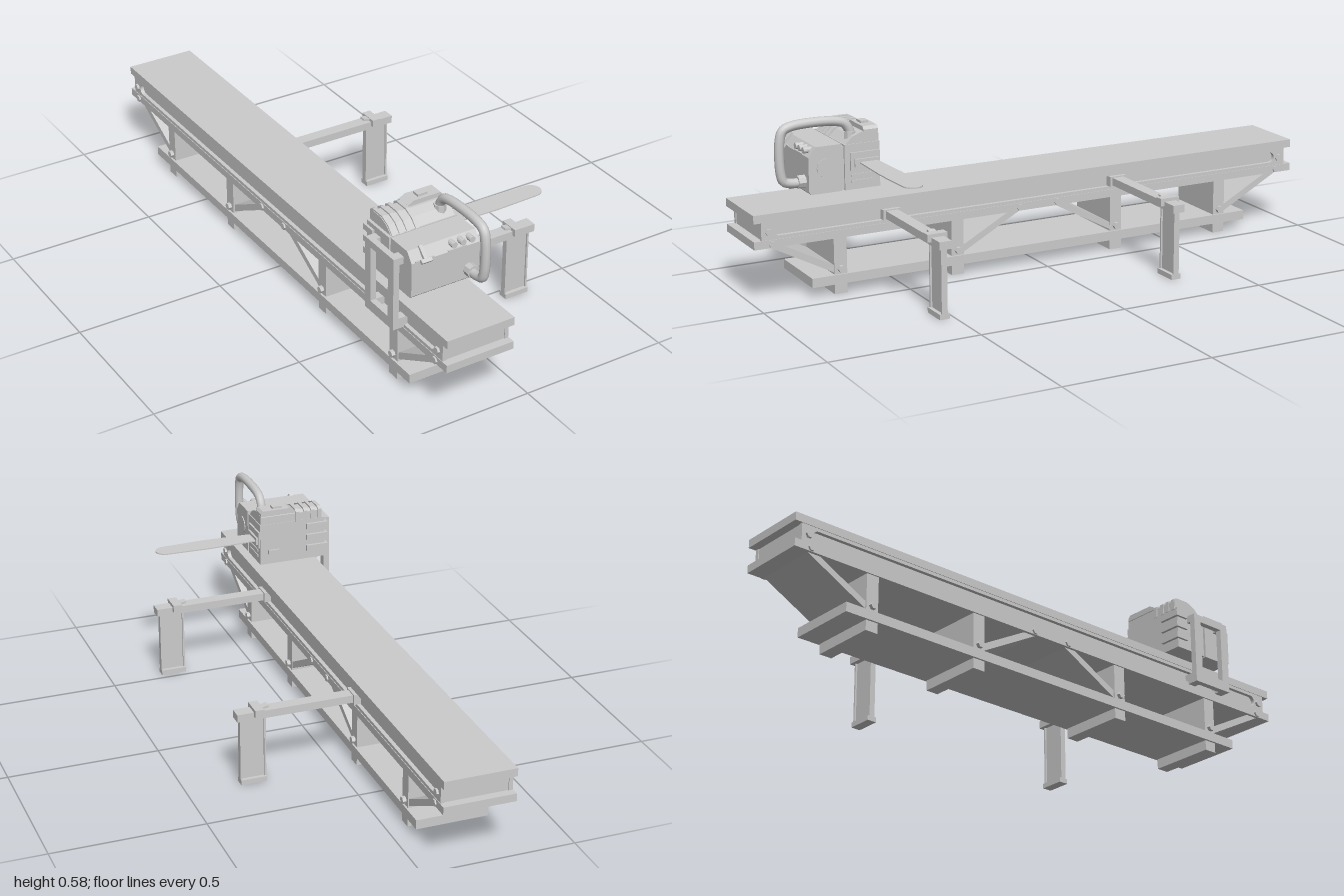
import * as THREE from 'three';

const mat = new THREE.MeshStandardMaterial({ color: 0xcccccc, flatShading: true });
const smooth = new THREE.MeshStandardMaterial({ color: 0xcccccc });

function add(parent, name, geo, material = mat) {
  const mesh = new THREE.Mesh(geo, material);
  mesh.name = name;
  parent.add(mesh);
  return mesh;
}

// Box given by its limits on each axis
function box(parent, name, x0, x1, y0, y1, z0, z1) {
  const m = add(parent, name, new THREE.BoxGeometry(x1 - x0, y1 - y0, z1 - z0));
  m.position.set((x0 + x1) / 2, (y0 + y1) / 2, (z0 + z1) / 2);
  return m;
}

// Shape drawn in (-z, y), extruded from x0 to x1
function extrudeX(parent, name, shape, x0, x1) {
  const g = new THREE.ExtrudeGeometry(shape, { depth: x1 - x0, bevelEnabled: false, curveSegments: 8 });
  g.rotateY(Math.PI / 2);
  g.translate(x0, 0, 0);
  return add(parent, name, g);
}
const profile = (pts) => new THREE.Shape(pts.map(([z, y]) => new THREE.Vector2(-z, y)));

// Cylinder along an axis, centred on a point
function rod(parent, name, axis, r, len, x, y, z, sides = 6) {
  const g = new THREE.CylinderGeometry(r, r, len, sides);
  if (axis === 'x') g.rotateZ(Math.PI / 2);
  if (axis === 'z') g.rotateX(Math.PI / 2);
  const m = add(parent, name, g);
  m.position.set(x, y, z);
  return m;
}

function stadium(path, halfLen, y, r) {
  path.absarc(halfLen, y, r, -Math.PI / 2, Math.PI / 2, false);
  path.absarc(-halfLen, y, r, Math.PI / 2, Math.PI * 1.5, false);
  path.closePath();
  return path;
}

function makeTable() {
  const t = new THREE.Group();
  t.name = 'table';
  box(t, 'tableTop', -0.298, -0.061, 0.27, 0.297, -1, 1);
  box(t, 'lowerDeck', -0.298, -0.061, 0.186, 0.212, -1, 1);
  box(t, 'webCore', -0.283, -0.076, 0.212, 0.27, -0.972, 0.972);
  // side plates with a long sliding slot
  for (const x of [-0.296, -0.076]) {
    const s = profile([[0.975, 0.212], [-0.975, 0.212], [-0.975, 0.27], [0.975, 0.27]]);
    s.holes.push(stadium(new THREE.Path(), 0.915, 0.241, 0.018));
    extrudeX(t, 'slottedRail', s, x, x + 0.013);
  }
  box(t, 'shelf', -0.3, -0.061, 0.034, 0.065, -0.81, 0.81);
  // legs, feet, sloping braces and through bolts, mirrored front to back
  for (const s of [-1, 1]) {
    for (const [leg, end] of [[0.71, 0.95], [0.297, 0.06]]) {
      const d = Math.sign(end - leg), z = s * leg;
      box(t, 'leg', -0.293, -0.067, 0, 0.188, z - 0.022, z + 0.022);
      const pts = [[end, 0.188], [end - d * 0.045, 0.188], [leg + d * 0.01, 0.09], [leg + d * 0.015, 0.068]]
        .map(([a, b]) => [s * a, b]);
      extrudeX(t, 'braceBoard', profile(pts), -0.288, -0.07);
      rod(t, 'legBolt', 'x', 0.012, 0.25, -0.18, 0.083, z);
      rod(t, 'braceBolt', 'x', 0.012, 0.248, -0.18, 0.198, s * (end - d * 0.01));
    }
    rod(t, 'endBolt', 'x', 0.012, 0.248, -0.18, 0.238, s * 0.95);
  }
  return t;
}

function makeSupportArm(z) {
  const a = new THREE.Group();
  a.name = 'supportArm';
  a.position.z = z;
  box(a, 'slideBlock', -0.078, -0.052, 0.224, 0.258, -0.03, 0.03);
  box(a, 'armBeam', -0.07, 0.335, 0.228, 0.254, -0.021, 0.021);
  box(a, 'clamp', 0.25, 0.28, 0.24, 0.265, -0.034, 0.034);
  const lever = box(a, 'clampLever', 0.228, 0.255, 0.257, 0.264, -0.012, 0.012);
  lever.rotation.z = -0.18;
  // hanging stop plate with raised edges and a foot
  box(a, 'stopPlate', 0.237, 0.323, 0.01, 0.24, -0.004, 0.004);
  for (const x of [0.237, 0.317]) box(a, 'plateEdge', x, x + 0.006, 0.01, 0.24, -0.01, 0.01);
  box(a, 'plateFoot', 0.237, 0.323, 0.001, 0.018, -0.017, 0.017);
  return a;
}

function makeSaw() {
  const g = new THREE.Group();
  g.name = 'saw';
  // front housing, joint and rear engine block
  extrudeX(g, 'frontHousing', profile([[0.7, 0.338], [0.7, 0.49], [0.787, 0.49], [0.812, 0.458],
    [0.812, 0.345], [0.805, 0.338]]), -0.3, -0.061);
  box(g, 'housingJoint', -0.292, -0.068, 0.342, 0.48, 0.685, 0.705);
  extrudeX(g, 'engineBlock', profile([[0.57, 0.338], [0.57, 0.485], [0.69, 0.485], [0.69, 0.338]]), -0.3, -0.061);
  extrudeX(g, 'engineTop', profile([[0.572, 0.485], [0.572, 0.513], [0.585, 0.52], [0.63, 0.52],
    [0.66, 0.508], [0.685, 0.485]]), -0.29, -0.064);
  // curved ribs over the top
  for (const x of [-0.288, -0.262, -0.236, -0.205]) {
    extrudeX(g, 'topRib', profile([[0.568, 0.48], [0.568, 0.518], [0.582, 0.525], [0.632, 0.525],
      [0.666, 0.51], [0.69, 0.485]]), x, x + 0.013);
  }
  // raised cover with a sloping end
  const c = new THREE.Shape([[-0.19, 0.515], [-0.065, 0.515], [-0.065, 0.525], [-0.073, 0.535], [-0.17, 0.535], [-0.19, 0.523]]
    .map((p) => new THREE.Vector2(...p)));
  const cover = new THREE.ExtrudeGeometry(c, { depth: 0.05, bevelEnabled: false });
  add(g, 'topCover', cover).position.z = 0.572;
  box(g, 'coverLatch', -0.147, -0.112, 0.533, 0.542, 0.585, 0.61);

  // carrying handle
  const pts = [[0.8, 0.376], [0.855, 0.374], [0.882, 0.383], [0.891, 0.41], [0.891, 0.515], [0.88, 0.545],
    [0.85, 0.557], [0.71, 0.557], [0.673, 0.545], [0.656, 0.518], [0.655, 0.49]]
    .map(([z, y]) => new THREE.Vector3(-0.097, y, z));
  const curve = new THREE.CatmullRomCurve3(pts, false, 'centripetal');
  add(g, 'handle', new THREE.TubeGeometry(curve, 60, 0.0155, 10), smooth);
  rod(g, 'handleMount', 'z', 0.021, 0.03, -0.097, 0.376, 0.822, 8);
  rod(g, 'handleSocket', 'y', 0.02, 0.03, -0.097, 0.505, 0.655, 8);

  // knobs, front seam and T-shaped pull
  for (const x of [-0.153, -0.122, -0.09]) rod(g, 'knob', 'z', 0.01, 0.03, x, 0.477, 0.803, 12);
  for (const x of [-0.287, -0.173]) box(g, 'frontTrim', x, x + 0.065, 0.459, 0.462, 0.8, 0.814);
  const pull = new THREE.Group();
  pull.name = 'pullLever';
  pull.position.set(-0.255, 0.48, 0.8);
  pull.rotation.x = 0.75;
  box(pull, 'leverStem', -0.006, 0.006, -0.005, 0.005, -0.02, 0.025);
  box(pull, 'leverGrip', -0.018, 0.018, -0.006, 0.006, 0.022, 0.034);
  g.add(pull);

  // flat horizontal guide bar with a round tip
  const b = new THREE.Shape();
  b.moveTo(-0.07, -0.03);
  b.lineTo(0.12, -0.037);
  b.lineTo(0.27, -0.032);
  b.absellipse(0.27, 0, 0.034, 0.032, -Math.PI / 2, Math.PI / 2, false);
  b.lineTo(0.12, 0.037);
  b.lineTo(-0.07, 0.03);
  const bar = new THREE.ExtrudeGeometry(b, { depth: 0.004, bevelEnabled: false, curveSegments: 12 });
  bar.rotateX(Math.PI / 2);
  add(g, 'guideBar', bar).position.set(0, 0.427, 0.613);
  box(g, 'barCover', -0.064, -0.055, 0.4, 0.458, 0.572, 0.672);
  box(g, 'barClamp', -0.062, -0.048, 0.412, 0.437, 0.577, 0.66);
  for (const y of [0.36, 0.38]) box(g, 'sideVent', -0.063, -0.058, y, y + 0.008, 0.59, 0.67);
  rod(g, 'sideCap', 'x', 0.03, 0.008, -0.062, 0.42, 0.755, 12);

  // cooling fins on the back corner
  for (const y of [0.369, 0.41, 0.45]) {
    box(g, 'coolingFin', -0.308, -0.23, y, y + 0.02, 0.56, 0.61);
  }
  box(g, 'backCatch', -0.13, -0.09, 0.375, 0.39, 0.563, 0.575);

  // sliding bracket that joins the saw to the table rail
  const br = new THREE.Group();
  br.name = 'railBracket';
  for (const z of [0.615, 0.74]) {
    box(br, 'bracketPost', -0.335, -0.315, 0.215, 0.462, z, z + 0.03);
    box(br, 'upperHook', -0.316, -0.298, 0.438, 0.462, z, z + 0.03);
    box(br, 'lowerHook', -0.316, -0.284, 0.215, 0.25, z, z + 0.03);
  }
  box(br, 'upperCrossbar', -0.335, -0.315, 0.438, 0.462, 0.645, 0.74);
  box(br, 'lowerCrossbar', -0.335, -0.315, 0.215, 0.25, 0.645, 0.74);
  g.add(br);
  return g;
}

export function createModel() {
  const model = new THREE.Group();
  model.name = 'sawTable';
  model.add(makeTable(), makeSaw());
  for (const z of [0.535, -0.297]) model.add(makeSupportArm(z));
  return model;
}
